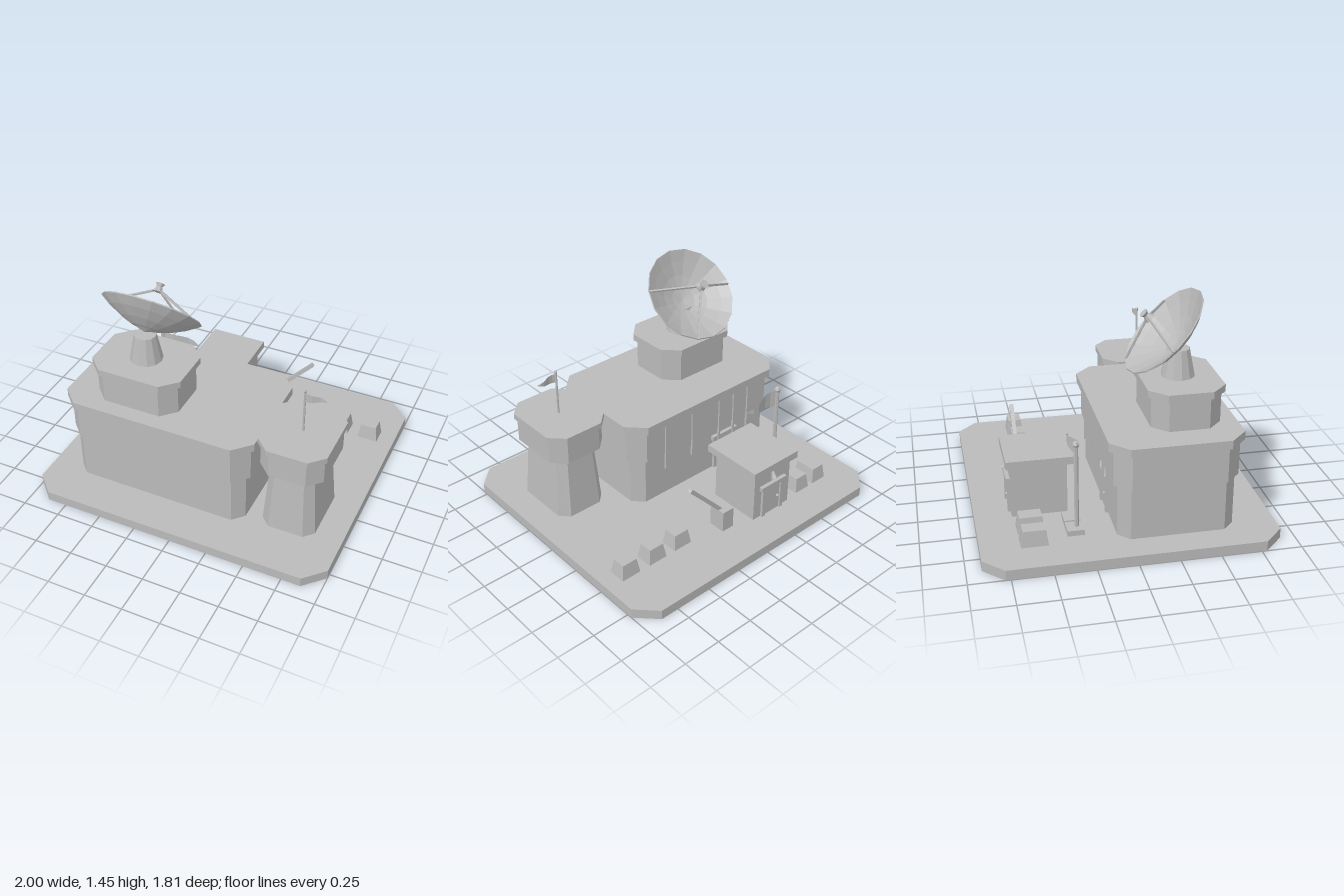
import * as THREE from 'three';

const concrete = new THREE.MeshStandardMaterial({ color: 0xbababa });
concrete.name = 'concrete grey';
const cloth = new THREE.MeshStandardMaterial({ color: 0xbababa, side: THREE.DoubleSide });
cloth.name = 'cloth grey';

export function createModel() {
  const root = new THREE.Group();
  root.name = 'radarOutpost';

  const add = (name, geo, parent = root, mat = concrete) => {
    const g = geo.index ? geo.toNonIndexed() : geo;
    g.computeVertexNormals();
    const m = new THREE.Mesh(g, mat);
    m.name = name;
    parent.add(m);
    return m;
  };

  // Rectangle outline with cut corners, drawn in x and -z
  const outline = (T, x0, x1, z0, z1, c) => {
    const s = new T();
    [[x0 + c, z0], [x1 - c, z0], [x1, z0 + c], [x1, z1 - c],
      [x1 - c, z1], [x0 + c, z1], [x0, z1 - c], [x0, z0 + c]]
      .forEach(([x, z], i) => (i ? s.lineTo(x, -z) : s.moveTo(x, -z)));
    s.closePath();
    return s;
  };

  // Upright block with cut corners; inX and inZ scale its top
  const block = (name, x0, x1, z0, z1, y0, y1, c, sx = 1, sz = 1, holes = []) => {
    const shape = outline(THREE.Shape, x0, x1, z0, z1, c);
    shape.holes.push(...holes);
    const g = new THREE.ExtrudeGeometry(shape, { depth: y1 - y0, bevelEnabled: false });
    g.rotateX(-Math.PI / 2);
    const p = g.attributes.position, cx = (x0 + x1) / 2, cz = (z0 + z1) / 2;
    for (let i = 0; i < p.count; i++) {
      if (p.getY(i) > (y1 - y0) / 2) {
        p.setX(i, cx + (p.getX(i) - cx) * sx);
        p.setZ(i, cz + (p.getZ(i) - cz) * sz);
      }
    }
    g.translate(0, y0, 0);
    return add(name, g);
  };

  const box = (name, x0, x1, y0, y1, z0, z1) => {
    const g = new THREE.BoxGeometry(x1 - x0, y1 - y0, z1 - z0);
    g.translate((x0 + x1) / 2, (y0 + y1) / 2, (z0 + z1) / 2);
    return add(name, g);
  };

  // Straight rod between two points
  const rod = (name, a, b, r, parent = root, sides = 6) => {
    const A = new THREE.Vector3(...a), B = new THREE.Vector3(...b);
    const d = B.clone().sub(A);
    const m = add(name, new THREE.CylinderGeometry(r, r, d.length(), sides), parent);
    m.position.copy(A).add(B).multiplyScalar(0.5);
    m.quaternion.setFromUnitVectors(new THREE.Vector3(0, 1, 0), d.normalize());
    return m;
  };

  // Base slab with two floor openings under the doorways
  const G = 0.065;
  block('baseSlab', -1, 1, -0.907, 0.907, 0, G, 0.125, 1, 1, [
    outline(THREE.Path, -0.34, -0.16, -0.65, -0.55, 0.03),
    outline(THREE.Path, -0.46, -0.28, -0.06, 0.04, 0.03)]);

  // Main building
  block('mainLowerWalls', -0.815, 0.37, -0.08, 0.64, G, 0.4, 0.07);
  block('mainUpperWalls', -0.84, 0.4, -0.105, 0.665, 0.4, 0.63, 0.095);
  block('mainRoof', -0.865, 0.425, -0.135, 0.69, 0.63, 0.685, 0.11);
  block('dishHouse', -0.68, -0.12, 0.155, 0.585, 0.685, 0.885, 0.09);
  block('dishHouseRoof', -0.705, -0.095, 0.13, 0.605, 0.885, 0.93, 0.1);
  for (const x of [0.15, -0.08, -0.32, -0.45, -0.58]) {
    box('wallPipe', x - 0.007, x + 0.007, 0.28, 0.62, -0.115, -0.1);
  }

  // Dish pedestal
  add('dishPedestal', new THREE.CylinderGeometry(0.07, 0.105, 0.175, 12))
    .position.set(-0.4, 1.0175, 0.365);

  // Tilted dish, three struts and the feed horn
  const dish = new THREE.Group();
  dish.name = 'dishAssembly';
  dish.position.set(-0.4, 1.22, 0.27);
  dish.rotation.x = -0.807;
  root.add(dish);
  const profile = [[0, -0.14], [0.06, -0.122], [0.09, -0.116], [0.17, -0.087], [0.255, -0.045], [0.32, -0.002],
    [0.317, 0.006], [0.25, -0.032], [0.165, -0.074], [0.085, -0.103], [0, -0.12]];
  add('dishBowl', new THREE.LatheGeometry(profile.map(p => new THREE.Vector2(...p)), 16), dish);
  for (const [x, z] of [[0.12, -0.29], [-0.312, -0.03], [0.295, 0.115]]) {
    rod('feedStrut', [x, 0, z], [0, 0.135, 0], 0.009, dish, 4);
  }
  add('feedHorn', new THREE.CylinderGeometry(0.018, 0.035, 0.035, 8), dish).position.y = 0.135;
  add('feedCap', new THREE.CylinderGeometry(0.03, 0.018, 0.02, 8), dish).position.y = 0.162;

  // Watch tower
  block('towerShaft', 0.47, 0.82, 0.12, 0.59, G, 0.5, 0.06, 0.82, 0.86);
  block('towerRoom', 0.44, 0.85, 0.1, 0.605, 0.5, 0.66, 0.085);
  block('towerRoof', 0.425, 0.865, 0.085, 0.62, 0.66, 0.7, 0.09);

  // Flag pole with a slightly waving pennant
  const flagPole = (x, z, y0, y1, r, len, top, drop) => {
    rod('flagPole', [x, y0, z], [x, y1 - r, z], r);
    add('poleFinial', new THREE.SphereGeometry(r * 1.6, 6, 4)).position.set(x, y1 - r * 1.6, z);
    const g = new THREE.PlaneGeometry(len, 1, 6, 1);
    const p = g.attributes.position;
    for (let i = 0; i < p.count; i++) {
      const t = p.getX(i) / len + 0.5, upper = p.getY(i) > 0;
      const y = upper ? top - drop * 0.45 * t * t : top - drop + drop * 0.5 * t * t;
      p.setXYZ(i, x + t * len, y, z + Math.sin(t * Math.PI * 2) * len * 0.07);
    }
    add('pennant', g, root, cloth);
  };
  flagPole(0.645, 0.355, 0.7, 1.01, 0.007, 0.14, 0.985, 0.06);
  flagPole(-0.655, -0.31, 0.1, 0.67, 0.014, 0.28, 0.64, 0.12);

  // Low plinths beside the gate house
  box('flagPlinth', -0.71, -0.6, G, 0.1, -0.375, -0.27);
  box('sparePlinth', -0.585, -0.47, G, 0.1, -0.375, -0.27);

  // Gate house
  box('gateHouseWalls', -0.41, -0.095, G, 0.41, -0.675, -0.325);
  box('gateHouseRoof', -0.445, -0.06, 0.41, 0.46, -0.705, -0.28);

  // Doors with frame, lintel, knob and lamp, on walls facing back
  const door = (x, z, h) => {
    box('doorPanel', x - 0.07, x + 0.07, G, G + h, z - 0.006, z + 0.005);
    for (const s of [-1, 1]) {
      box('doorJamb', x + s * 0.08 - 0.013, x + s * 0.08 + 0.013, G, G + h, z - 0.017, z + 0.005);
    }
    box('doorLintel', x - 0.11, x + 0.11, G + h, G + h + 0.03, z - 0.025, z + 0.005);
    add('doorKnob', new THREE.SphereGeometry(0.012, 6, 4)).position.set(x - 0.045, G + h * 0.5, z - 0.014);
  };
  door(-0.252, -0.675, 0.21);
  door(-0.385, -0.08, 0.23);
  const lamp = add('doorLamp', new THREE.CylinderGeometry(0.008, 0.022, 0.05, 6));
  lamp.position.set(-0.252, 0.355, -0.685);
  lamp.rotation.x = 0.4;

  // Gate post with raised barrier arm
  block('gatePost', 0.04, 0.13, -0.63, -0.515, G, 0.21, 0.001);
  const arm = add('barrierArm', new THREE.BoxGeometry(0.385, 0.025, 0.026));
  arm.position.set(0.23, 0.335, -0.573);
  arm.rotation.z = Math.atan2(0.28, 0.26);

  // Tapered road blocks
  for (const x of [0.413, 0.615, 0.823]) {
    block('roadBlock', x - 0.068, x + 0.068, -0.57, -0.455, G, 0.165, 0.001, 0.76, 0.76);
  }
  for (const x of [-0.725, -0.565]) {
    block('largeRoadBlock', x - 0.06, x + 0.06, -0.665, -0.5, G, 0.165, 0.001, 0.78, 0.84);
  }

  return root;
}
